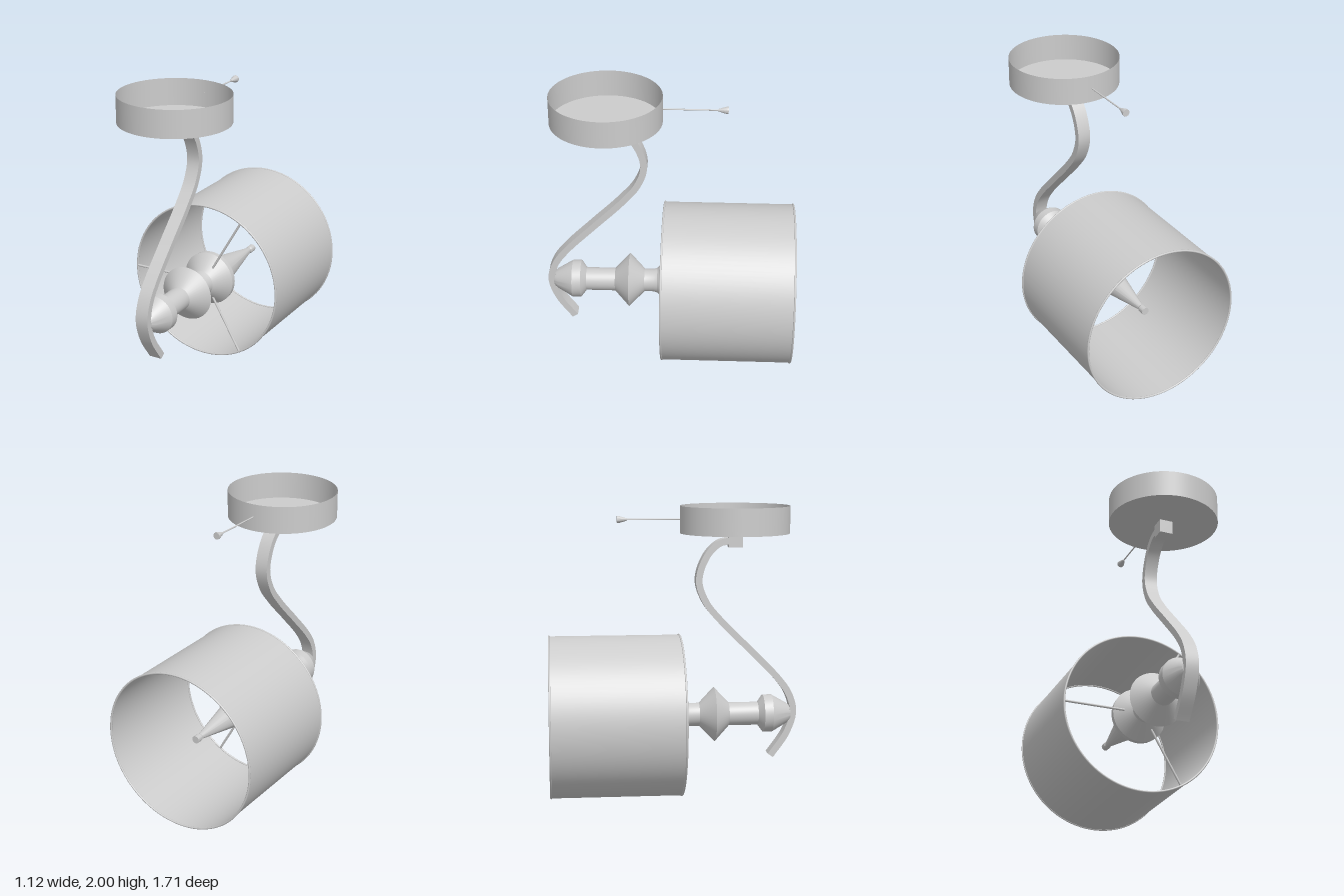
import * as THREE from 'three';
import { toCreasedNormals } from 'three/addons/utils/BufferGeometryUtils.js';

export function createModel() {
  const lamp = new THREE.Group();
  lamp.name = 'wallLamp';
  const metal = new THREE.MeshStandardMaterial({ color: 0xcccccc, side: THREE.DoubleSide });
  metal.name = 'greyMetal';
  const axisY = 0.563; // height of the shade axis

  const add = (name, geometry, x = 0, y = 0, z = 0, parent = lamp) => {
    const mesh = new THREE.Mesh(geometry, metal);
    mesh.name = name;
    mesh.position.set(x, y, z);
    parent.add(mesh);
    return mesh;
  };
  // lathe around the z axis, profile given as [z, radius] from back to front
  const turned = (profile, segments = 48) => {
    const points = profile.map(([z, r]) => new THREE.Vector2(r, z));
    const g = new THREE.LatheGeometry(points, segments).rotateX(Math.PI / 2);
    return toCreasedNormals(g, 0.45);
  };

  // Canopy: open-topped cup
  const canopy = new THREE.Group();
  canopy.name = 'canopy';
  canopy.position.set(0, 1.815, 0.422);
  lamp.add(canopy);
  add('canopyWall', new THREE.CylinderGeometry(0.373, 0.373, 0.185, 64, 1, true), 0, 0.0925, 0, canopy);
  add('canopyFloor', new THREE.CircleGeometry(0.373, 64).rotateX(Math.PI / 2), 0, 0, 0, canopy);

  // Pull rod with a flared knob
  add('pullRod', new THREE.CylinderGeometry(0.005, 0.005, 0.37, 10).rotateX(Math.PI / 2), 0, 1.91, -0.135);
  add('pullKnob', turned([[-0.378, 0], [-0.378, 0.024], [-0.365, 0.024], [-0.31, 0.008], [-0.31, 0]], 20), 0, 1.91, 0);

  // Mounting block under the canopy
  add('mountBlock', new THREE.BoxGeometry(0.09, 0.095, 0.095), 0, 1.7675, 0.425);

  // S-shaped arm: centre line as [z, y], thickened and extruded across x
  const path = new THREE.CatmullRomCurve3([
    [0.38, 1.765], [0.31, 1.745], [0.228, 1.661], [0.175, 1.497], [0.222, 1.35],
    [0.333, 1.212], [0.534, 1.011], [0.72, 0.82], [0.799, 0.709], [0.832, 0.582],
    [0.788, 0.434], [0.677, 0.27],
  ].map(([z, y]) => new THREE.Vector3(z, y, 0)), false, 'centripetal');
  const upper = [], lower = [];
  const steps = 72, half = 0.0225;
  for (let i = 0; i <= steps; i++) {
    const p = path.getPointAt(i / steps), t = path.getTangentAt(i / steps);
    upper.push(new THREE.Vector2(p.x - t.y * half, p.y + t.x * half));
    lower.unshift(new THREE.Vector2(p.x + t.y * half, p.y - t.x * half));
  }
  const armShape = new THREE.Shape([...upper, ...lower]);
  const armGeometry = new THREE.ExtrudeGeometry(armShape, { depth: 0.09, bevelEnabled: false });
  armGeometry.translate(0, 0, -0.045).rotateY(-Math.PI / 2);
  add('curvedArm', toCreasedNormals(armGeometry, 0.6));

  // Turned lamp holder with beads and a long tapered candle
  add('turnedHolder', turned([
    [-0.65, 0], [-0.65, 0.026], [-0.605, 0.026], [-0.595, 0.02], [-0.56, 0.026],
    [-0.05, 0.125], [-0.05, 0.185], [-0.01, 0.188], [0.09, 0.088], [0.116, 0.08],
    [0.18, 0.08], [0.285, 0.188], [0.386, 0.08], [0.588, 0.08], [0.625, 0.13],
    [0.685, 0.13], [0.79, 0.07], [0.815, 0.05], [0.815, 0],
  ]), 0, axisY, 0);

  // Drum shade with a rim ring at each end
  const shade = new THREE.Group();
  shade.name = 'shade';
  shade.position.y = axisY;
  lamp.add(shade);
  add('shadeDrum', new THREE.CylinderGeometry(0.554, 0.554, 0.895, 96, 1, true).rotateX(Math.PI / 2), 0, 0, -0.399, shade);
  for (const [name, z] of [['frontRim', 0.046], ['backRim', -0.845]]) {
    add(name, new THREE.TorusGeometry(0.553, 0.007, 10, 96), 0, 0, z, shade);
  }

  // Three spokes joining the holder to the front rim
  for (let i = 0; i < 3; i++) {
    const spoke = new THREE.Group();
    spoke.name = 'spoke' + (i + 1);
    spoke.rotation.z = Math.PI / 3 + (i * 2 * Math.PI) / 3;
    shade.add(spoke);
    add('spokeRod', new THREE.CylinderGeometry(0.008, 0.008, 0.46, 10).rotateZ(Math.PI / 2), 0.32, 0, 0.044, spoke);
  }
  return lamp;
}
